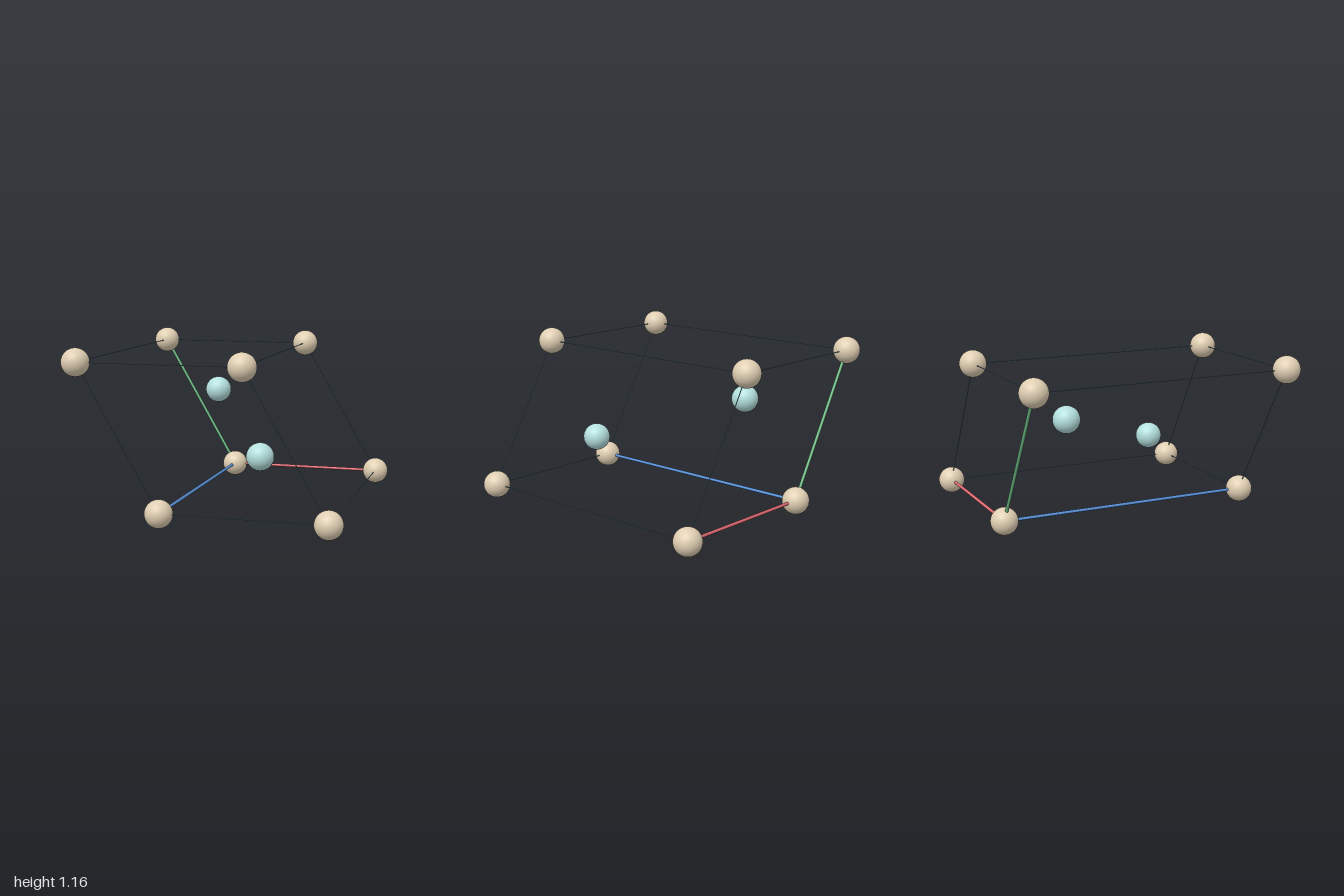
import * as THREE from 'three';

const material = (name, color) => {
  const m = new THREE.MeshStandardMaterial({ color });
  m.name = name;
  return m;
};

export function createModel() {
  const model = new THREE.Group();
  model.name = 'crystalCell';

  const tan = material('tan', 0xdfceb2);
  const teal = material('pale teal', 0xb4e0de);
  const steel = material('steel blue', 0x5c8296);
  const red = material('red', 0xe06a72);
  const green = material('green', 0x6cba82);
  const blue = material('blue', 0x5a94dc);

  // Cell: an origin corner and three edge vectors, 120 degrees between a and b
  const R = 0.094;
  const side = 1.117;
  const length = 1.812;
  const origin = new THREE.Vector3(-side / 4, 0.096, -length / 2);
  const a = new THREE.Vector3(side, 0, 0);
  const b = new THREE.Vector3(-side / 2, side * Math.sqrt(3) / 2, 0);
  const c = new THREE.Vector3(0, 0, length);
  const at = (u, v, w) => origin.clone()
    .addScaledVector(a, u).addScaledVector(b, v).addScaledVector(c, w);

  const ball = new THREE.SphereGeometry(R, 40, 28);
  const addAtom = (name, mat, p) => {
    const mesh = new THREE.Mesh(ball, mat);
    mesh.name = name;
    mesh.position.copy(p);
    model.add(mesh);
  };

  const up = new THREE.Vector3(0, 1, 0);
  const addRod = (name, mat, from, to, radius) => {
    const dir = to.clone().sub(from);
    const mesh = new THREE.Mesh(
      new THREE.CylinderGeometry(radius, radius, dir.length(), 12), mat);
    mesh.name = name;
    mesh.position.copy(from).addScaledVector(dir, 0.5);
    mesh.quaternion.setFromUnitVectors(up, dir.normalize());
    model.add(mesh);
  };

  // Corner atoms
  for (const u of [0, 1]) for (const v of [0, 1]) for (const w of [0, 1]) {
    addAtom('cornerAtom', tan, at(u, v, w));
  }

  // Inner atoms
  addAtom('innerAtom', teal, at(1 / 3, 2 / 3, 1 / 4));
  addAtom('innerAtom', teal, at(2 / 3, 1 / 3, 3 / 4));

  // Four parallel edges per direction; the one from the origin is a thick coloured axis
  const axes = [['redAxis', red], ['greenAxis', green], ['blueAxis', blue]];
  axes.forEach(([name, mat], k) => {
    for (const s of [0, 1]) for (const t of [0, 1]) {
      const start = [0, 0, 0];
      start[(k + 1) % 3] = s;
      start[(k + 2) % 3] = t;
      const end = start.slice();
      end[k] = 1;
      const isAxis = s + t === 0;
      addRod(isAxis ? name : 'cellEdge', isAxis ? mat : steel,
        at(...start), at(...end), isAxis ? 0.011 : 0.003);
    }
  });

  return model;
}
